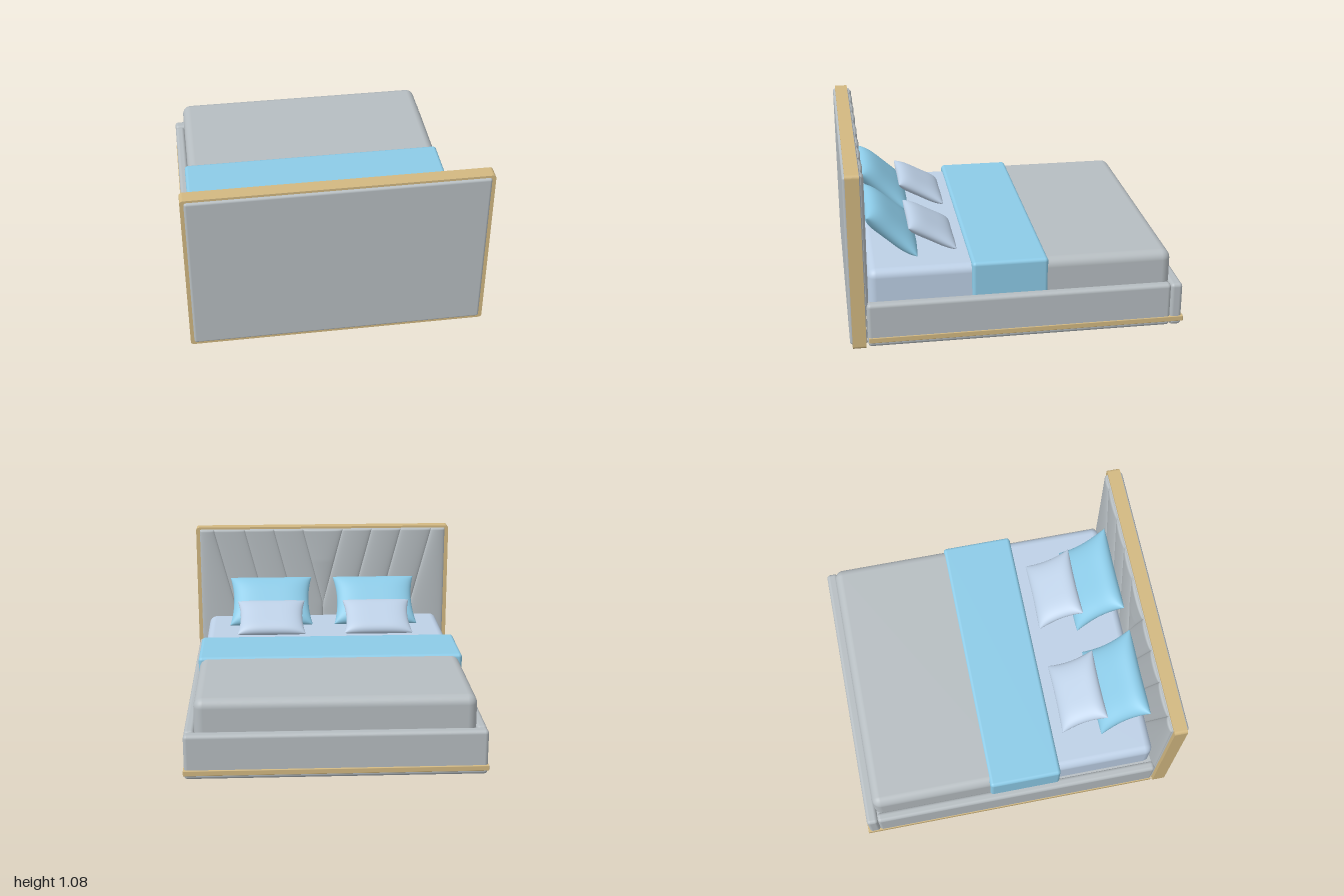
import * as THREE from 'three';
import { RoundedBoxGeometry } from 'three/addons/geometries/RoundedBoxGeometry.js';
import { ParametricGeometry } from 'three/addons/geometries/ParametricGeometry.js';
import { mergeGeometries, mergeVertices } from 'three/addons/utils/BufferGeometryUtils.js';

const material = (name, color) => {
  const m = new THREE.MeshStandardMaterial({ color });
  m.name = name;
  return m;
};

// Rounded rectangle outline, used for the headboard frame
function roundedRect(path, halfWidth, y0, y1, r) {
  const q = Math.PI / 2;
  path.absarc(halfWidth - r, y1 - r, r, 0, q);
  path.absarc(-halfWidth + r, y1 - r, r, q, 2 * q);
  path.absarc(-halfWidth + r, y0 + r, r, 2 * q, 3 * q);
  path.absarc(halfWidth - r, y0 + r, r, 3 * q, 4 * q);
  path.closePath();
  return path;
}

export function createModel() {
  const bed = new THREE.Group();
  bed.name = 'bed';
  const grey = material('grey upholstery', 0xb6bdc1);
  const gold = material('brushed gold', 0xd2b881);
  const blue = material('sky blue fabric', 0x8fcfec);
  const pale = material('pale blue linen', 0xbdd0e6);
  const dark = material('brown underside', 0xa4958b);

  const add = (name, geometry, mat) => {
    const mesh = new THREE.Mesh(geometry, mat);
    mesh.name = name;
    bed.add(mesh);
    return mesh;
  };
  // Rounded box given by its extents on each axis
  const box = (name, mat, [x0, x1], [y0, y1], [z0, z1], radius) => {
    const mesh = add(name, new RoundedBoxGeometry(x1 - x0, y1 - y0, z1 - z0, 5, radius), mat);
    mesh.position.set((x0 + x1) / 2, (y0 + y1) / 2, (z0 + z1) / 2);
    return mesh;
  };

  // Headboard: gold frame around a padded panel
  const outline = roundedRect(new THREE.Shape(), 0.888, 0, 1.081, 0.02);
  outline.holes.push(roundedRect(new THREE.Path(), 0.855, 0.03, 1.055, 0.01));
  const frame = new THREE.ExtrudeGeometry(outline, { depth: 0.08, bevelEnabled: false, curveSegments: 6 });
  add('headboardFrame', frame, gold).position.z = 0.906;
  box('headboardBack', grey, [-0.866, 0.866], [0.02, 1.067], [0.95, 1], 0.015);
  box('headboardPad', grey, [-0.862, 0.862], [0.02, 1.067], [0.9, 0.96], 0.008);

  // Slanted channels that lean towards the centre line as they go down
  const top = 1.064, height = 1.041, halfWidth = 0.86, slope = 0.26;
  const seams = [0, 0.14, 0.345, 0.55, 0.765, 1.2];
  const ease = (t) => 0.5 - 0.5 * Math.cos(Math.PI * t);
  for (const side of [-1, 1]) {
    for (let k = 0; k < seams.length - 1; k++) {
      const depth = Math.min(height, seams[k + 1] / slope);
      const surface = (u, v, target) => {
        const t = ease(side > 0 ? u : 1 - u);
        const d = depth * ease(v);
        const inner = Math.max(seams[k] - slope * d, 0);
        const outer = Math.min(seams[k + 1] - slope * d, halfWidth);
        const width = Math.max(outer - inner, 0);
        const wave = Math.sin(Math.PI * (k === 0 ? 0.5 + t / 2 : t));
        const ends = Math.max(0, Math.min(1, Math.min(d, height - d) / 0.012));
        const bulge = 0.02 * Math.pow(Math.max(0, wave), 0.35) * Math.sqrt(ends) * Math.min(1, width / 0.08);
        target.set(side * (inner + width * t), top - d, 0.8995 - bulge);
      };
      add('headboardChannel', new ParametricGeometry(surface, 18, 28), grey);
    }
  }

  // Base: side rails, foot rail, gold trim, platform and underside
  for (const s of [-1, 1]) {
    const span = (a, b) => (s > 0 ? [a, b] : [-b, -a]);
    box('sideRail', grey, span(0.82, 0.882), [0.005, 0.277], [-0.92, 0.895], 0.022);
    box('sideTrim', gold, span(0.85, 0.887), [0.032, 0.065], [-1, 0.89], 0.004);
  }
  box('footRail', grey, [-0.882, 0.882], [0.005, 0.277], [-0.99, -0.918], 0.022);
  box('footTrim', gold, [-0.887, 0.887], [0.032, 0.065], [-1, -0.96], 0.004);
  box('platform', grey, [-0.83, 0.83], [0.11, 0.25], [-0.94, 0.89], 0.004);
  box('underside', dark, [-0.825, 0.825], [0.09, 0.12], [-0.93, 0.885], 0.004);

  // Bedding
  box('mattress', pale, [-0.805, 0.805], [0.11, 0.455], [-0.9, 0.88], 0.05);
  box('blanket', grey, [-0.822, 0.822], [0.11, 0.467], [-0.927, 0.05], 0.055);
  box('throw', blue, [-0.842, 0.83], [0.2, 0.477], [-0.18, 0.272], 0.022);

  // Pillow: two plump sheets with curved-in edges and pointed corners
  const pillowGeometry = (w, h, thick) => {
    const sheet = (face) => {
      const g = new THREE.PlaneGeometry(2, 2, 28, 28);
      const p = g.attributes.position;
      for (let i = 0; i < p.count; i++) {
        const u = Math.sin(p.getX(i) * Math.PI / 2), v = Math.sin(p.getY(i) * Math.PI / 2);
        const fill = Math.max(0, (1 - u ** 4) * (1 - v ** 4));
        p.setXYZ(i, w * u * (1 - 0.09 * (1 - v * v)), h * v * (1 - 0.04 * (1 - u * u)),
          thick * Math.sqrt(fill));
      }
      if (face < 0) g.rotateY(Math.PI);
      g.deleteAttribute('uv');
      g.deleteAttribute('normal');
      return g;
    };
    const g = mergeVertices(mergeGeometries([sheet(1), sheet(-1)]), 1e-5);
    g.computeVertexNormals();
    return g;
  };
  const large = pillowGeometry(0.285, 0.195, 0.066);
  const small = pillowGeometry(0.23, 0.16, 0.048);
  for (const s of [-1, 1]) {
    const x = s * 0.36 + 0.008;
    const back = add('largePillow', large, blue);
    back.position.set(x, 0.594, 0.722);
    back.rotation.x = THREE.MathUtils.degToRad(48);
    const front = add('smallPillow', small, pale);
    front.position.set(x, 0.545, 0.478);
    front.rotation.x = THREE.MathUtils.degToRad(62);
  }
  return bed;
}
